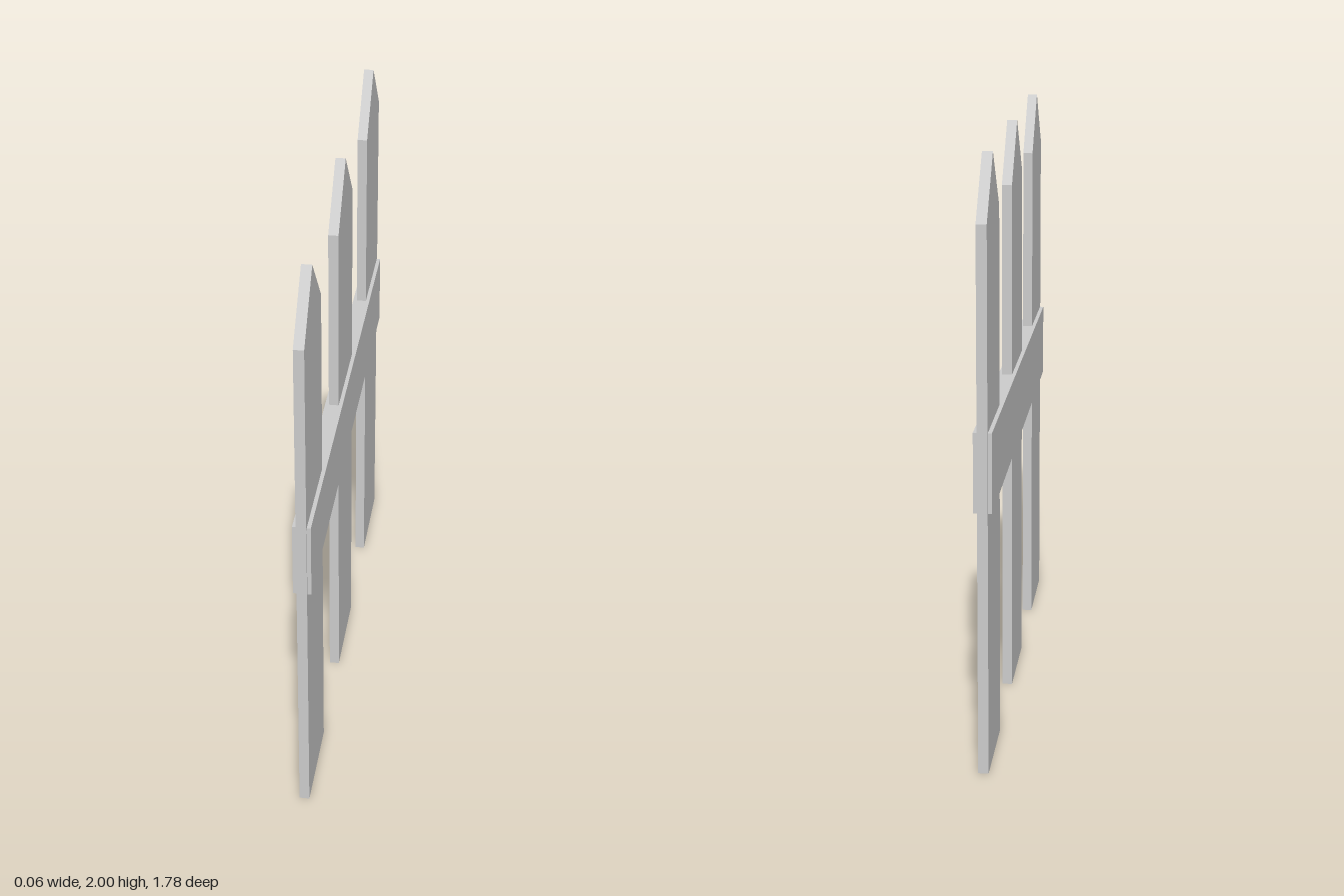
import * as THREE from 'three';

const HALF_WIDTH = 0.169, SHOULDER = 1.804, HEIGHT = 2, THICKNESS = 0.034;

// Pointed board outline, extruded and turned to lie in the YZ plane
function picketGeometry() {
  const outline = new THREE.Shape([
    new THREE.Vector2(-HALF_WIDTH, 0),
    new THREE.Vector2(HALF_WIDTH, 0),
    new THREE.Vector2(HALF_WIDTH, SHOULDER),
    new THREE.Vector2(0, HEIGHT),
    new THREE.Vector2(-HALF_WIDTH, SHOULDER),
  ]);
  return new THREE.ExtrudeGeometry(outline, { depth: THICKNESS, bevelEnabled: false })
    .translate(0, 0, -THICKNESS / 2)
    .rotateY(Math.PI / 2);
}

export function createModel() {
  const fence = new THREE.Group();
  fence.name = 'picketFence';
  const material = new THREE.MeshStandardMaterial({ color: 0xcccccc, flatShading: true });

  // Three evenly spaced pickets
  const geometry = picketGeometry();
  [['frontPicket', 0.722], ['middlePicket', 0], ['backPicket', -0.722]].forEach(([name, z]) => {
    const picket = new THREE.Mesh(geometry, material);
    picket.name = name;
    picket.position.z = z;
    fence.add(picket);
  });

  // Thicker cross rail through all the pickets
  const rail = new THREE.Mesh(new THREE.BoxGeometry(0.06, 0.263, 1.764), material);
  rail.name = 'crossRail';
  rail.position.y = 1.017;
  fence.add(rail);

  return fence;
}
